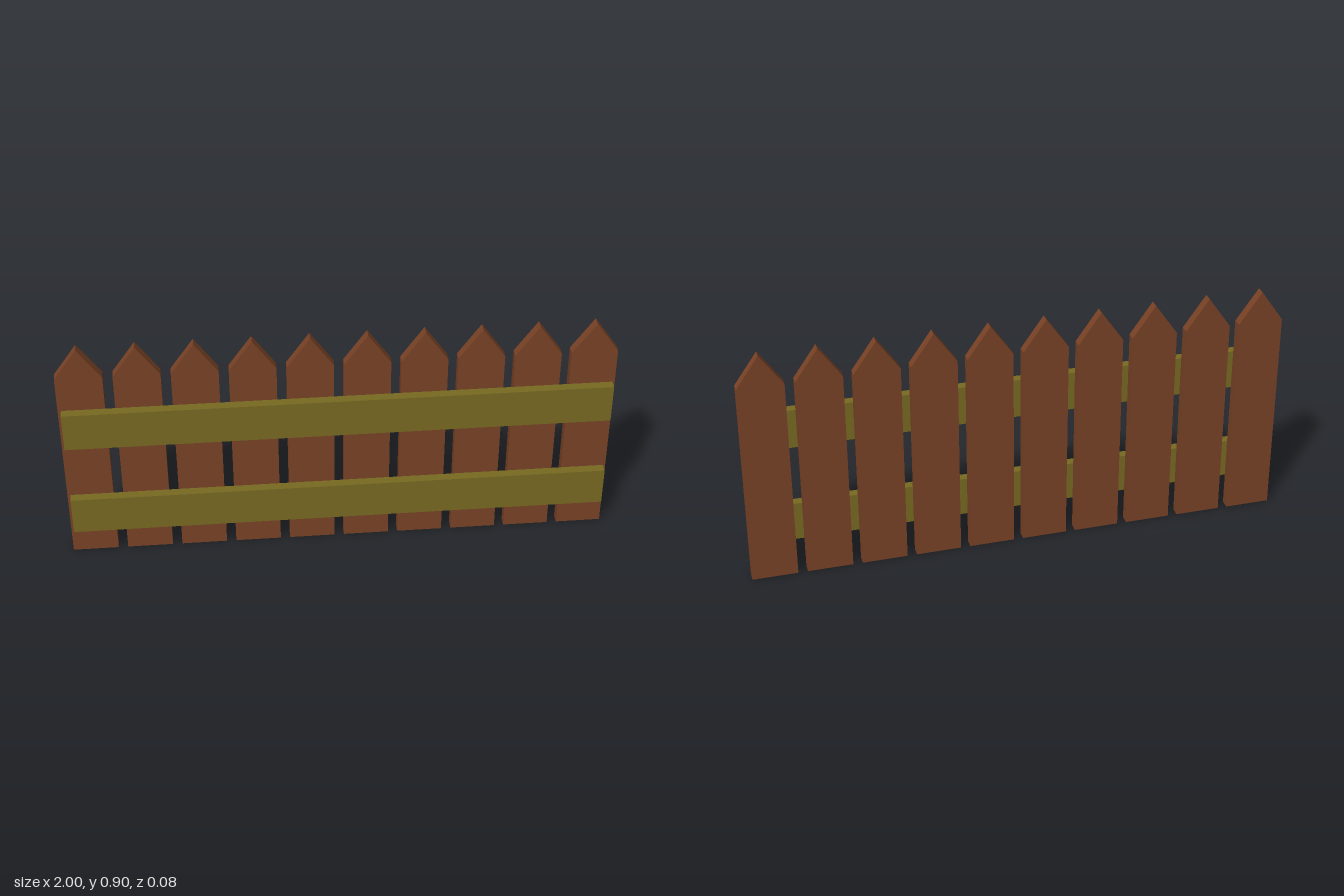
import * as THREE from 'three';

export function createModel() {
  const fence = new THREE.Group();
  fence.name = 'picketFence';
  const picketMat = new THREE.MeshStandardMaterial({ color: 0x7a4326, flatShading: true });
  const railMat = new THREE.MeshStandardMaterial({ color: 0x786a22, flatShading: true });

  // Pickets: pointed boards, evenly spaced
  const count = 10, width = 0.168, shoulder = 0.785, tip = 0.905;
  const outline = new THREE.Shape([
    new THREE.Vector2(-width / 2, 0),
    new THREE.Vector2(width / 2, 0),
    new THREE.Vector2(width / 2, shoulder),
    new THREE.Vector2(0, tip),
    new THREE.Vector2(-width / 2, shoulder),
  ]);
  const picketGeo = new THREE.ExtrudeGeometry(outline, { depth: 0.036, bevelEnabled: false });
  for (let i = 0; i < count; i++) {
    const picket = new THREE.Mesh(picketGeo, picketMat);
    picket.name = `picket${i + 1}`;
    picket.position.set(-1 + width / 2 + (i * (2 - width)) / (count - 1), 0, -0.038);
    fence.add(picket);
  }

  // Rails: two horizontal boards just in front of the pickets
  const railGeo = new THREE.BoxGeometry(1.977, 0.15, 0.034);
  for (const [name, y] of [['lowerRail', 0.195], ['upperRail', 0.579]]) {
    const rail = new THREE.Mesh(railGeo, railMat);
    rail.name = name;
    rail.position.set(0.001, y, 0.021);
    fence.add(rail);
  }
  return fence;
}
